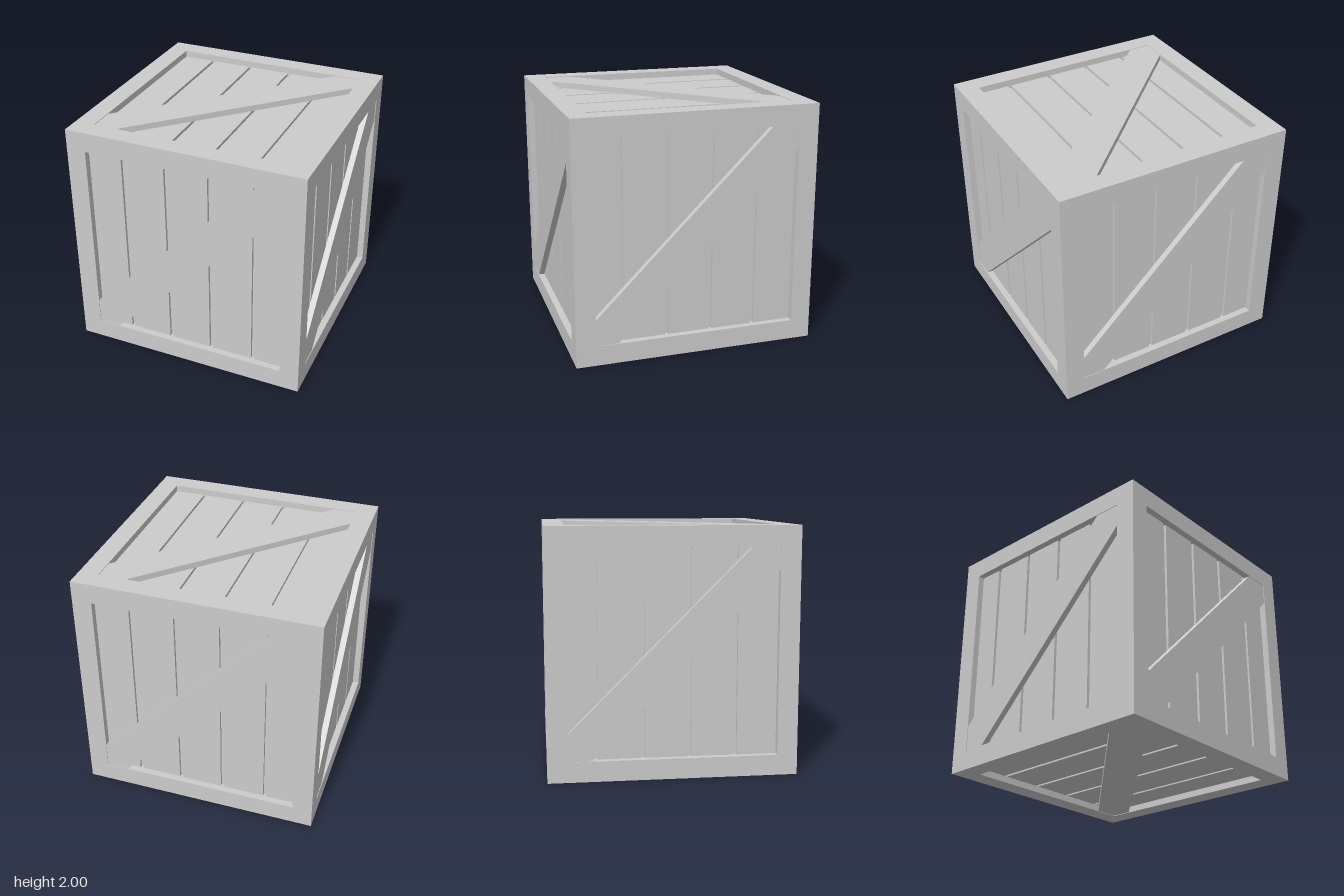
import * as THREE from 'three';

const BEAM = 0.165;           // frame beam thickness
const H = 1 - BEAM;           // half size of each recessed panel
const FLOOR = 0.945;          // plank surface, measured from the crate centre
const CORE = 0.92;            // bottom of the grooves
const GAP = 0.028;            // groove width

const material = new THREE.MeshStandardMaterial({ color: 0xcccccc, flatShading: true });

function box(name, w, h, d, x, y, z) {
  const mesh = new THREE.Mesh(new THREE.BoxGeometry(w, h, d), material);
  mesh.name = name;
  mesh.position.set(x, y, z);
  return mesh;
}

// One side in local space, facing +z: five planks and a diagonal brace
function createSide(name, grooves, slope) {
  const side = new THREE.Group();
  side.name = name;

  const edges = [-H - GAP / 2, ...grooves, H + GAP / 2];
  for (let i = 0; i < edges.length - 1; i++) {
    const a = edges[i] + GAP / 2, b = edges[i + 1] - GAP / 2;
    side.add(box('plank', b - a, 2 * H, FLOOR - CORE, (a + b) / 2, 0, (FLOOR + CORE) / 2));
  }

  // Brace cut to fit the corners of the frame
  const outline = [[-H, -H], [-0.65, -H], [H, 0.65], [H, H], [0.615, H], [-H, -0.615]];
  const shape = new THREE.Shape(outline.map(([x, y]) => new THREE.Vector2(x, y * slope)));
  const brace = new THREE.Mesh(
    new THREE.ExtrudeGeometry(shape, { depth: 0.995 - FLOOR, bevelEnabled: false }), material);
  brace.name = 'diagonalBrace';
  brace.position.z = FLOOR;
  side.add(brace);
  return side;
}

export function createModel() {
  const crate = new THREE.Group();
  crate.name = 'crate';
  const body = new THREE.Group();
  body.name = 'body';
  body.position.y = 1;
  crate.add(body);

  // Inner core, seen only at the bottom of the grooves
  body.add(box('innerCore', 2 * CORE, 2 * CORE, 2 * CORE, 0, 0, 0));

  // Frame: four beams along each axis
  const c = 1 - BEAM / 2;
  for (const s of [-c, c]) {
    for (const t of [-c, c]) {
      body.add(box('cornerPost', BEAM, 2, BEAM, s, 0, t));
      body.add(box('crossBeam', 2 * H, BEAM, BEAM, 0, s, t));
      body.add(box('sideBeam', BEAM, BEAM, 2 * H, s, t, 0));
    }
  }

  // Six sides
  const frontGrooves = [-0.537, -0.167, 0.203, 0.577];
  const rightGrooves = [-0.612, -0.24, 0.13, 0.5];
  const topGrooves = [-0.553, -0.185, 0.185, 0.557];
  const Q = Math.PI / 2;
  const sides = [
    ['frontSide', frontGrooves, 1, 0, 0],
    ['backSide', frontGrooves, 1, 0, 2 * Q],
    ['plusXSide', rightGrooves, 1, 0, Q],
    ['minusXSide', rightGrooves, 1, 0, -Q],
    ['topSide', topGrooves, 1, -Q, 0],
    ['bottomSide', topGrooves, -1, Q, 0],
  ];
  for (const [name, grooves, slope, rx, ry] of sides) {
    const side = createSide(name, grooves, slope);
    side.rotation.set(rx, ry, 0);
    body.add(side);
  }
  return crate;
}
